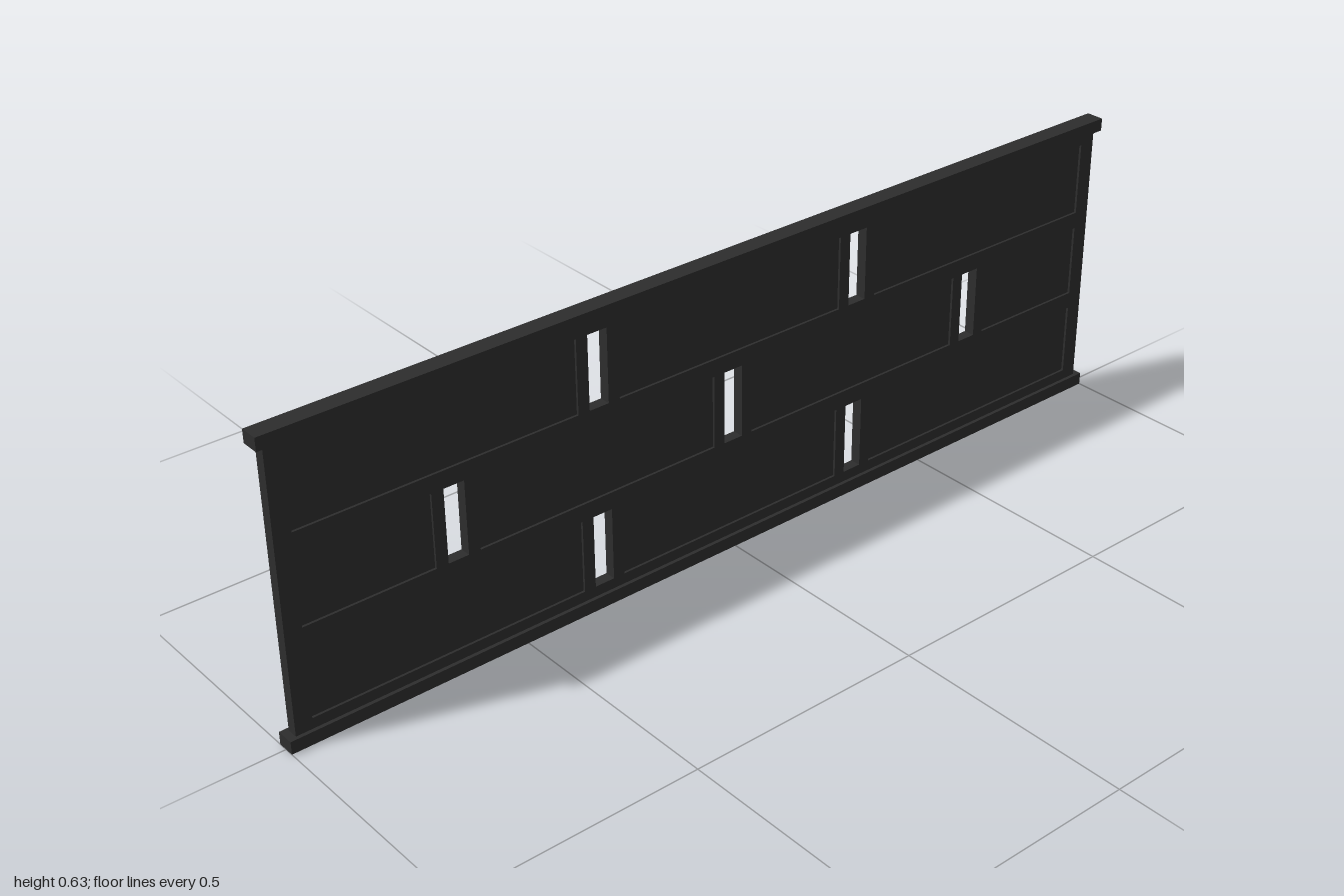
import * as THREE from 'three';

const charcoal = new THREE.MeshStandardMaterial({ color: 0x2d2d2d });
charcoal.name = 'charcoal';

const HALF = 0.985, BOTTOM = 0.026, TOP = 0.6;   // wall outline
const WALL = 0.023, RECESS = 0.005;              // wall thickness, panel depth
const SLOT_W = 0.043, ROW_H = 0.153, FRAME = 0.025, PANEL_END = 0.95;

// Three rows of panels, each broken by slots at these x positions
const rows = [
  { y: 0.125, slots: [-0.316, 0.316] },
  { y: 0.3135, slots: [-0.633, 0, 0.633] },
  { y: 0.502, slots: [-0.316, 0.316] },
];

function rectPath(PathType, x0, x1, y0, y1) {
  const p = new PathType();
  p.moveTo(x0, y0);
  p.lineTo(x1, y0);
  p.lineTo(x1, y1);
  p.lineTo(x0, y1);
  p.closePath();
  return p;
}

// Wall outline with the slots cut out, and optionally the recessed panels
function wallShape(withPanels) {
  const shape = rectPath(THREE.Shape, -HALF, HALF, BOTTOM, TOP);
  for (const { y, slots } of rows) {
    const y0 = y - ROW_H / 2, y1 = y + ROW_H / 2;
    let start = -PANEL_END;
    for (const x of slots) {
      shape.holes.push(rectPath(THREE.Path, x - SLOT_W / 2, x + SLOT_W / 2, y0, y1));
      const edge = SLOT_W / 2 + FRAME;
      if (withPanels) shape.holes.push(rectPath(THREE.Path, start, x - edge, y0, y1));
      start = x + edge;
    }
    if (withPanels) shape.holes.push(rectPath(THREE.Path, start, PANEL_END, y0, y1));
  }
  return shape;
}

function plate(name, shape, depth, z) {
  const geometry = new THREE.ExtrudeGeometry(shape, { depth, bevelEnabled: false });
  const mesh = new THREE.Mesh(geometry, charcoal);
  mesh.name = name;
  mesh.position.z = z;
  return mesh;
}

export function createModel() {
  const model = new THREE.Group();
  model.name = 'slottedBarrierPanel';

  // Core forms the floors of the panels; the frames on both faces form their rims
  const coreDepth = WALL - 2 * RECESS;
  model.add(plate('wallCore', wallShape(false), coreDepth, -coreDepth / 2));
  model.add(plate('frontFrame', wallShape(true), RECESS, coreDepth / 2));
  model.add(plate('backFrame', wallShape(true), RECESS, -WALL / 2));

  // Rails capping the top and bottom edges
  for (const [name, y] of [['bottomRail', 0.0132], ['topRail', 0.6135]]) {
    const rail = new THREE.Mesh(new THREE.BoxGeometry(2, 0.0265, 0.038), charcoal);
    rail.name = name;
    rail.position.y = y;
    model.add(rail);
  }
  return model;
}
